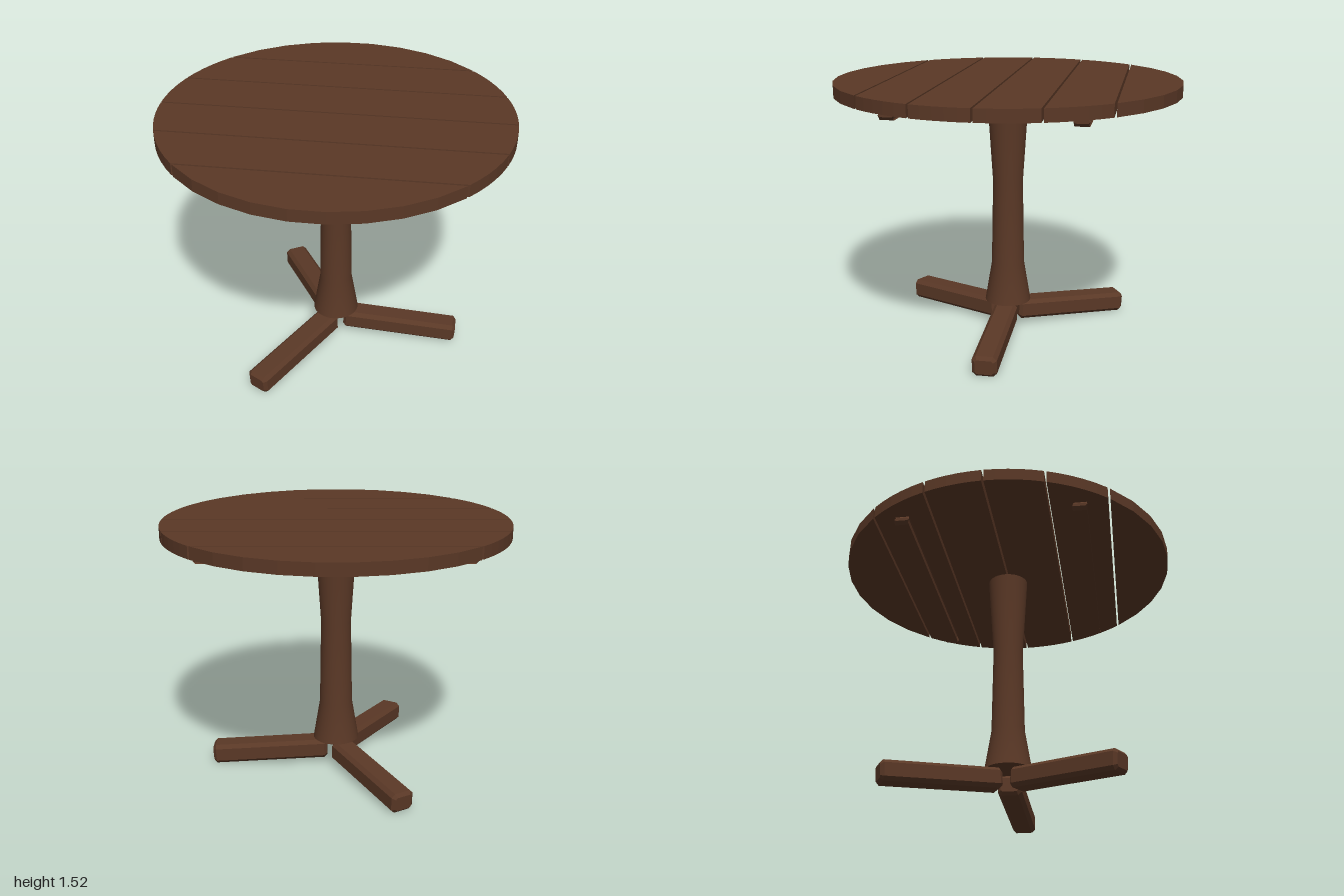
import * as THREE from 'three';

const wood = new THREE.MeshStandardMaterial({ color: 0x5a3826 });
wood.name = 'dark wood';

function add(parent, name, geometry) {
  const mesh = new THREE.Mesh(geometry, wood);
  mesh.name = name;
  parent.add(mesh);
  return mesh;
}

// Bar along x with every edge chamfered
function chamferedBar(length, height, width, c) {
  const w = width / 2 - c, h = height / 2 - c, k = c * 0.6;
  const shape = new THREE.Shape([
    [w, -h + k], [w, h - k], [w - k, h], [-w + k, h],
    [-w, h - k], [-w, -h + k], [-w + k, -h], [w - k, -h],
  ].map(([x, y]) => new THREE.Vector2(x, y)));
  const g = new THREE.ExtrudeGeometry(shape, {
    depth: length - 2 * c, bevelEnabled: true, bevelSegments: 1, bevelSize: c, bevelThickness: c,
  });
  g.translate(0, 0, -length / 2 + c);
  g.rotateY(Math.PI / 2);
  return g;
}

// Board cut from a unit disc between two parallel lines
function plankGeometry(z0, z1) {
  const a0 = Math.asin(z0), a1 = Math.asin(z1);
  const outer = Math.max(Math.abs(z0), Math.abs(z1)) === 1;
  const steps = outer ? 4 : 5;
  const right = [], left = [];
  for (let i = 0; i <= steps; i++) {
    // the outermost boards end in a short flat edge
    const t = outer ? i / (steps + 0.5) : i / steps;
    const a = z0 === -1 ? a1 + (a0 - a1) * t : a0 + (a1 - a0) * t;
    right.push(new THREE.Vector2(Math.cos(a), Math.sin(a)));
    left.unshift(new THREE.Vector2(-Math.cos(a), Math.sin(a)));
  }
  const g = new THREE.ExtrudeGeometry(new THREE.Shape([...right, ...left]), { depth: 0.07, bevelEnabled: false });
  g.rotateX(-Math.PI / 2);
  return g;
}

export function createModel() {
  const table = new THREE.Group();
  table.name = 'roundPedestalTable';

  // Round top of six boards with narrow gaps
  const top = new THREE.Group();
  top.name = 'tableTop';
  table.add(top);
  const gap = 0.006;
  for (let i = 0; i < 6; i++) {
    const z0 = i === 0 ? -1 : -1 + i / 3 + gap;
    const z1 = i === 5 ? 1 : -1 + (i + 1) / 3 - gap;
    add(top, 'plank' + (i + 1), plankGeometry(z0, z1)).position.y = 1.458;
  }

  // Two battens under the boards
  for (const side of [1, -1]) {
    add(table, side > 0 ? 'frontBatten' : 'backBatten', chamferedBar(1.5, 0.054, 0.122, 0.018))
      .position.set(0, 1.431, side * 0.503);
  }

  // Waisted pedestal with closed ends
  const pedestal = new THREE.Group();
  pedestal.name = 'pedestal';
  table.add(pedestal);
  const profile = [[0.138, 0.17], [0.098, 0.41], [0.089, 0.92], [0.12, 1.408]];
  add(pedestal, 'column', new THREE.LatheGeometry(profile.map(p => new THREE.Vector2(...p)), 32));
  add(pedestal, 'columnTop', new THREE.CircleGeometry(0.12, 32).rotateX(-Math.PI / 2)).position.y = 1.408;
  add(pedestal, 'columnBottom', new THREE.CircleGeometry(0.138, 32).rotateX(Math.PI / 2)).position.y = 0.17;

  // Three feet sloping outwards and down
  for (let i = 0; i < 3; i++) {
    const foot = new THREE.Group();
    foot.name = 'foot' + (i + 1);
    foot.rotation.y = (i * Math.PI * 2) / 3;
    const bar = add(foot, 'footBar', chamferedBar(0.705, 0.12, 0.14, 0.018));
    bar.position.set(0.407, 0.083, 0);
    bar.rotation.z = -0.06;
    table.add(foot);
  }
  return table;
}
